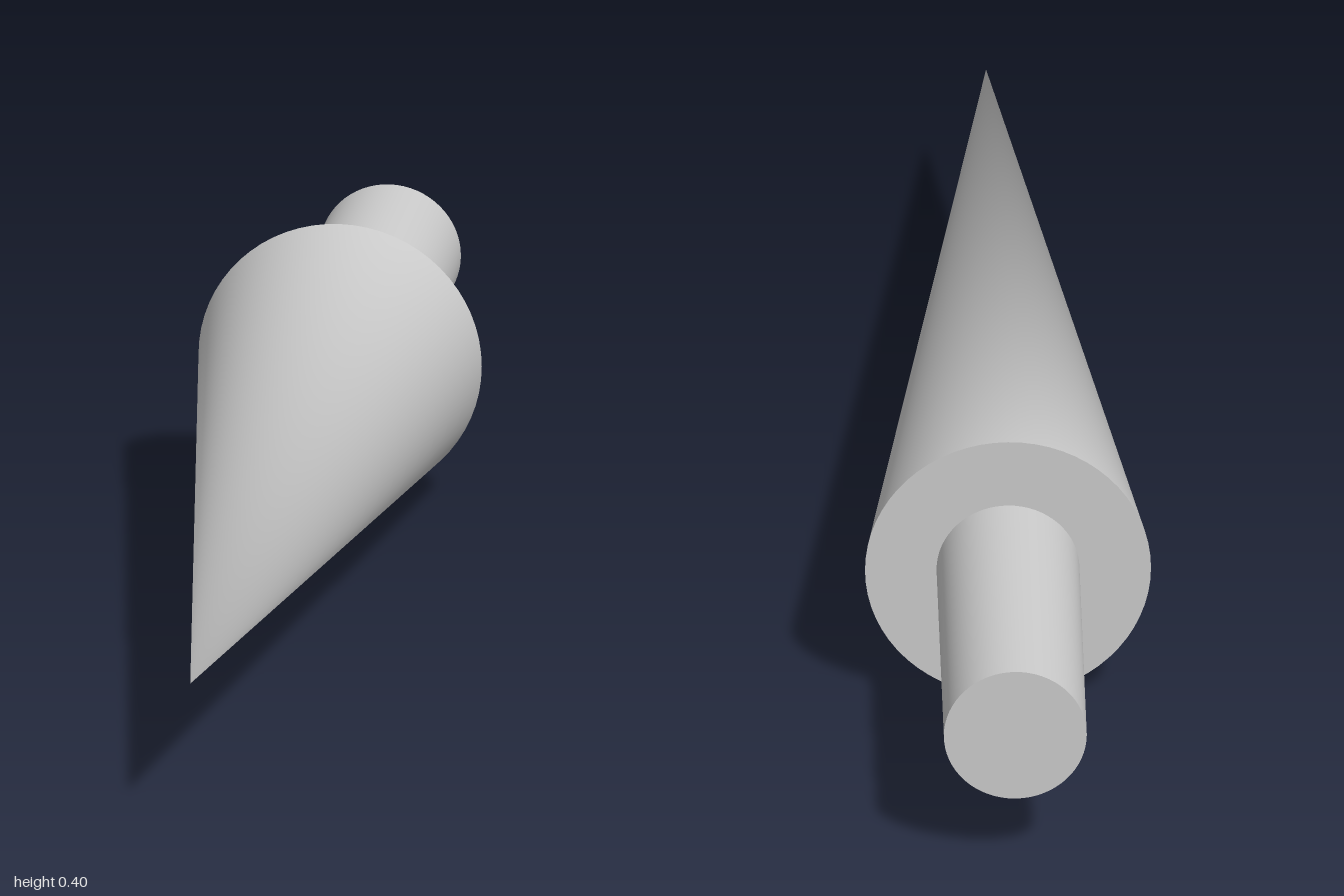
import * as THREE from 'three';
import { mergeVertices } from 'three/addons/utils/BufferGeometryUtils.js';

const SEGMENTS = 64;
const AXIS_Y = 0.2; // height of the long axis

export function createModel() {
  const group = new THREE.Group();
  group.name = 'pointedSpike';
  const material = new THREE.MeshStandardMaterial({ color: 0xcccccc });

  const add = (name, geometry, z) => {
    const mesh = new THREE.Mesh(geometry, material);
    mesh.name = name;
    mesh.position.set(0, AXIS_Y, z);
    group.add(mesh);
  };

  // Cone side: one shared apex, so the shading rounds off towards the tip
  let cone = new THREE.ConeGeometry(0.2, 1.5, SEGMENTS, 1, true).rotateX(Math.PI / 2);
  cone.deleteAttribute('uv');
  cone.deleteAttribute('normal');
  cone = mergeVertices(cone);
  cone.computeVertexNormals();
  add('coneTip', cone, 0.25);

  // Flat disc closing the back of the cone
  add('coneBase', new THREE.CircleGeometry(0.2, SEGMENTS).rotateY(Math.PI), -0.5);

  // Round shank behind the cone
  add('shank', new THREE.CylinderGeometry(0.1, 0.1, 0.5, SEGMENTS).rotateX(Math.PI / 2), -0.75);

  return group;
}
